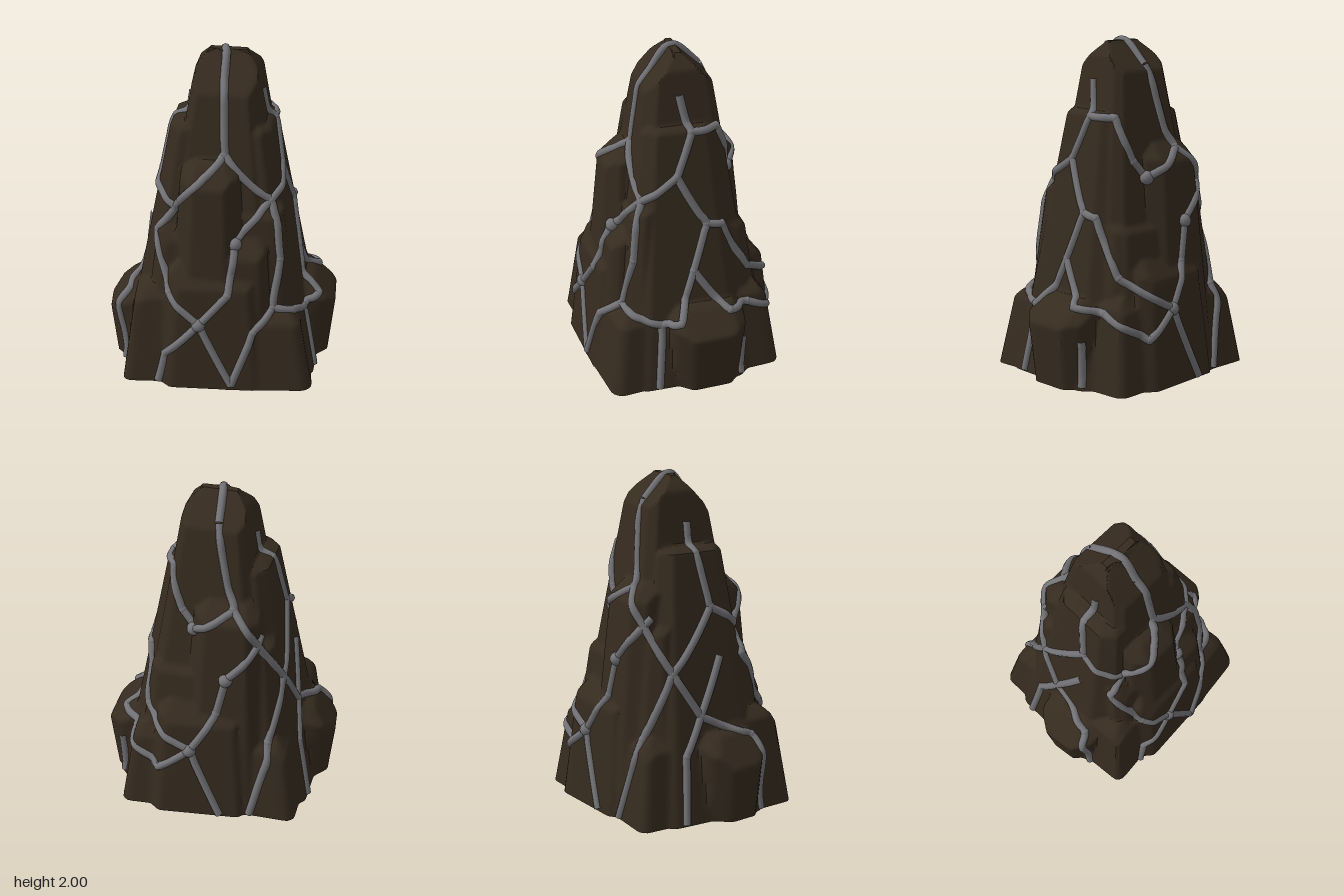
import * as THREE from 'three';
import { toCreasedNormals } from 'three/addons/utils/BufferGeometryUtils.js';

let seed = 7;
const rand = () => (seed = (seed * 16807) % 2147483647) / 2147483647;
const jitter = (a) => 1 + (rand() * 2 - 1) * a;

// Chamfered eight-sided rock: centre, half width and depth, height, top scale, top chamfers, corner fullness
function makeRock(x, z, hx, hz, top, scale, cx, cz, corner) {
  const turn = (rand() - 0.5) * 0.14;
  const sides = [];
  for (let k = 0; k < 8; k++) {
    const a = turn + k * Math.PI / 4;
    const d = k % 2 ? (hx + hz) * corner : k % 4 ? hx : hz;
    const chamfer = k % 2 ? (cx + cz) / 2 : k % 4 ? cx : cz;
    sides.push({
      nx: Math.sin(a), nz: Math.cos(a), chamfer,
      d: d * jitter(k % 2 ? 0.05 : 0.02), slope: 0.95 * jitter(0.25),
    });
  }
  return { x, z, top, scale, sides };
}

const rocks = [
  makeRock(0.02, -0.02, 0.48, 0.48, 1.98, 0.35, 0.06, 0.15, 0.62), // spire
  makeRock(0, 0, 0.6, 0.42, 1.57, 0.5, 0.01, 0.02, 0.59),          // shoulder
];
// Slabs leaning on the spire: x, z, half width, half depth, height, top scale
for (const slab of [
  [-0.06, 0.1, 0.25, 0.43, 1.38, 0.67],
  [-0.08, -0.1, 0.28, 0.43, 1.4, 0.67],
  [0.18, 0.11, 0.31, 0.35, 1.17, 0.58],
  [-0.18, 0.13, 0.31, 0.35, 1.05, 0.58],
  [0.17, -0.17, 0.32, 0.34, 1.0, 0.6],
  [-0.17, -0.15, 0.32, 0.34, 1.2, 0.55],
  [-0.04, 0.2, 0.34, 0.37, 0.8, 0.76],
  [0.1, 0.2, 0.24, 0.32, 0.95, 0.72],
  [0.05, -0.2, 0.35, 0.38, 0.75, 0.78],
]) rocks.push(makeRock(...slab, 0.06, 0.1, 0.6));
// Boulders bulging at either side of the foot
for (const [x, z, hz] of [[0.36, -0.06, 0.2], [-0.36, 0.07, 0.18]]) {
  rocks.push(makeRock(x, z, 0.3, hz, 0.51, 1.18, 0.16, 0.06, 0.6));
}
// Buttresses at the four corners: x, z, height
for (const [x, z, top] of [[0.28, -0.29, 0.55], [-0.28, -0.28, 0.52], [0.28, 0.3, 0.48], [-0.32, 0.25, 0.6]]) {
  rocks.push(makeRock(x, z, 0.27, 0.25, top, 0.68, 0.06, 0.06, 0.66));
}

// Distance from the axis to the outermost rock face at an angle and height
function reach(angle, y) {
  const dx = Math.sin(angle), dz = Math.cos(angle);
  let best = 0.03;
  for (const r of rocks) {
    if (y > r.top) continue;
    let near = 0, far = 9;
    for (const s of r.sides) {
      const d = Math.min(s.d * (1 + (r.scale - 1) * y / r.top),
        s.d * r.scale - s.chamfer + (r.top - y) * s.slope);
      const gap = d + r.x * s.nx + r.z * s.nz;
      const along = dx * s.nx + dz * s.nz;
      if (along > 1e-6) far = Math.min(far, gap / along);
      else if (along < -1e-6) near = Math.max(near, gap / along);
      else if (gap < 0) far = -1;
    }
    if (far > near) best = Math.max(best, far);
  }
  return best;
}

const COLS = 192, ROWS = 140, HEIGHT = 1.98;
const heightOf = (j) => HEIGHT * j / ROWS;

// Radii on a grid, lightly softened
function radiusGrid() {
  const raw = [];
  for (let j = 0; j <= ROWS; j++) {
    raw.push(Array.from({ length: COLS }, (_, i) => reach(i / COLS * Math.PI * 2, heightOf(j))));
  }
  return raw.map((row, j) => row.map((r, i) => {
    const up = raw[Math.min(j + 1, ROWS)][i], down = raw[Math.max(j - 1, 0)][i];
    return r * 0.4 + (up + down + row[(i + 1) % COLS] + row[(i + COLS - 1) % COLS]) * 0.15;
  }));
}

// Rings of the grid joined into a skin, closed at the foot and the peak
function rockGeometry(grid) {
  const pos = [], index = [];
  const rows = [grid[0].map(() => 0), ...grid, grid[0].map(() => 0)];
  rows.forEach((row, j) => {
    const y = heightOf(Math.min(Math.max(j - 1, 0), ROWS));
    row.forEach((r, i) => {
      const a = i / COLS * Math.PI * 2;
      pos.push(r * Math.sin(a), y, r * Math.cos(a));
    });
  });
  for (let j = 0; j < rows.length - 1; j++) {
    for (let i = 0; i < COLS; i++) {
      const n = (i + 1) % COLS, a = j * COLS + i, b = j * COLS + n, c = b + COLS, d = a + COLS;
      if (j > 0) index.push(a, b, c);
      if (j < rows.length - 2) index.push(a, c, d);
    }
  }
  const g = new THREE.BufferGeometry();
  g.setAttribute('position', new THREE.Float32BufferAttribute(pos, 3));
  g.setIndex(index);
  return toCreasedNormals(g, 0.55);
}

// Vein routes as [angle in degrees from the front towards +x, height]
const frontVeins = [
  [[3, 1.84], [4, 1.42], [-14, 1.32], [-46, 1.08], [-55, 0.93], [-34, 0.6], [-13, 0.42], [8, 0.03]],
  [[4, 1.42], [47, 1.15], [46, 0.8], [38, 0.5], [22, 0.38], [8, 0.03]],
  [[47, 1.15], [13, 0.91], [6, 0.62], [-13, 0.42], [-33, 0.2], [-36, 0.01]],
  [[47, 1.15], [79, 1.3], [97, 1.55], [87, 1.76]],
  [[38, 0.5], [67, 0.41]],
];
const sideVeins = [
  [[97, 1.55], [128, 1.55], [146, 1.3], [160, 1.2]],
  [[79, 1.3], [103, 1.0], [90, 0.72], [78, 0.45], [67, 0.41], [66, 0.01]],
  [[90, 0.72], [108, 0.48], [125, 0.45], [150, 0.3], [168, 0.45]],
  [[114, 0.3], [114, 0.02]],
  [[-46, 1.08], [-83, 1.24], [-92, 1.55], [-92, 1.72]],
  [[-80, 0.95], [-101, 0.62], [-113, 0.4], [-114, 0.01]],
];
const backVeins = [
  [[103, 1.0], [115, 0.98], [133, 0.65], [168, 0.45], [188, 0.01]],
  [[182, 1.84], [200, 1.36], [160, 1.2]],
  [[200, 1.36], [239, 0.88], [259, 0.62], [290, 0.48], [294, 0.01]],
  [[222, 1.2], [192, 0.93], [185, 0.7], [168, 0.45]],
  [[-83, 1.24], [-121, 0.88], [-140, 0.5], [-154, 0.01]],
];

function veinPoint(deg, y) {
  const a = deg * Math.PI / 180;
  const r = (reach(a, y) * 2 + reach(a - 0.06, y) + reach(a + 0.06, y)
    + reach(a, Math.max(y - 0.03, 0)) + reach(a, Math.min(y + 0.03, HEIGHT))) / 6 - 0.003;
  return new THREE.Vector3(r * Math.sin(a), y, r * Math.cos(a));
}

export function createModel() {
  const rock = new THREE.MeshStandardMaterial({ color: 0x362b1f });
  rock.name = 'dark brown rock';
  const grey = new THREE.MeshStandardMaterial({ color: 0x747478 });
  grey.name = 'grey vein';
  const group = new THREE.Group();
  group.name = 'veinedRockSpire';
  const add = (name, geometry, material) => {
    const mesh = new THREE.Mesh(geometry, material);
    mesh.name = name;
    group.add(mesh);
    return mesh;
  };
  add('rockBody', rockGeometry(radiusGrid()), rock);

  const tube = (points) => add('vein', new THREE.TubeGeometry(
    new THREE.CatmullRomCurve3(points, false, 'centripetal'), points.length * 4, 0.025, 8), grey);
  const knot = (p, size) => add('veinKnot', new THREE.SphereGeometry(size, 12, 8), grey).position.copy(p);

  for (const route of [...frontVeins, ...sideVeins, ...backVeins]) {
    const points = [];
    for (let i = 0; i < route.length - 1; i++) {
      const [a0, y0] = route[i], [a1, y1] = route[i + 1];
      for (let k = 0; k < 5; k++) points.push(veinPoint(a0 + (a1 - a0) * k / 5, y0 + (y1 - y0) * k / 5));
    }
    points.push(veinPoint(...route[route.length - 1]));
    tube(points);
    route.slice(1, -1).forEach((p) => knot(veinPoint(...p), 0.027));
  }
  // Larger knots where veins meet
  [[-13, 0.42], [13, 0.91], [168, 0.45], [192, 0.93], [160, 1.2]].forEach((p) => knot(veinPoint(...p), 0.042));
  // Vein crossing the peak
  tube([veinPoint(3, 1.84), new THREE.Vector3(0.01, 1.972, 0.02), new THREE.Vector3(0, 1.972, -0.04), veinPoint(182, 1.84)]);
  return group;
}
